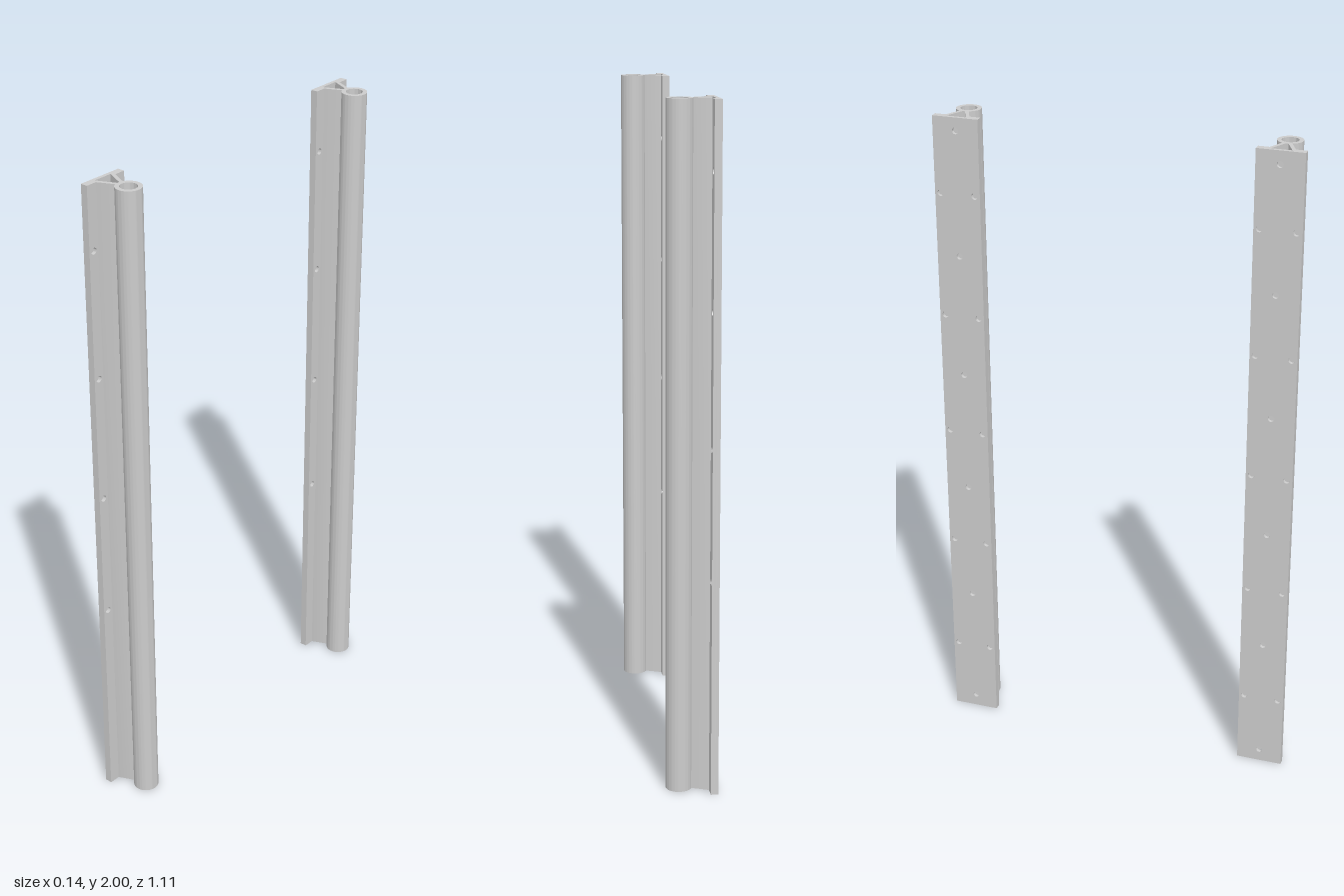
import * as THREE from 'three';
import { toCreasedNormals } from 'three/addons/utils/BufferGeometryUtils.js';

const HEIGHT = 2, PITCH = 0.388;
const HALF_WIDTH = 0.071, HOLE_Z = 0.054, HOLE_R = 0.01;
const BACK_X = -0.072, SEAM_X = -0.061, FRONT_X = -0.05;
const material = new THREE.MeshStandardMaterial({ color: 0xcccccc });

function addMesh(group, name, geometry) {
  const mesh = new THREE.Mesh(toCreasedNormals(geometry, 0.6), material);
  mesh.name = name;
  group.add(mesh);
}

// Constant section in the x-z plane, drawn upward along y
function extrudeUp(shape) {
  return new THREE.ExtrudeGeometry(shape, { depth: HEIGHT, bevelEnabled: false, curveSegments: 40 })
    .rotateX(-Math.PI / 2);
}

// Upright strip between two z values, drilled through its thickness in x
function drilledStrip(z0, z1, x0, x1, holes) {
  const shape = new THREE.Shape();
  shape.moveTo(-z1, 0).lineTo(-z0, 0).lineTo(-z0, HEIGHT).lineTo(-z1, HEIGHT).closePath();
  for (const [z, y] of holes) {
    shape.holes.push(new THREE.Path().absarc(-z, y, HOLE_R, 0, Math.PI * 2, true));
  }
  return new THREE.ExtrudeGeometry(shape, { depth: x1 - x0, bevelEnabled: false, curveSegments: 8 })
    .rotateY(Math.PI / 2).translate(x0, 0, 0);
}

function createRail() {
  const rail = new THREE.Group();

  // Hollow tube along the front edge
  const ring = new THREE.Shape().absarc(0.034, 0, 0.038, 0, Math.PI * 2, false);
  ring.holes.push(new THREE.Path().absarc(0.034, 0, 0.025, 0, Math.PI * 2, true));
  addMesh(rail, 'tube', extrudeUp(ring));

  // Back strip: a centre row of holes staggered between two outer rows
  const backHoles = [];
  for (let i = 0; i < 6; i++) backHoles.push([0, 0.04 + i * 0.384]);
  for (let i = 0; i < 5; i++) {
    for (const side of [-1, 1]) backHoles.push([side * HOLE_Z, 0.232 + i * 0.384]);
  }
  addMesh(rail, 'backStrip', drilledStrip(-HALF_WIDTH, HALF_WIDTH, BACK_X, SEAM_X, backHoles));

  for (const side of [-1, 1]) {
    // Slanted web joining the flange to the tube
    const web = new THREE.Shape([
      [SEAM_X, 0.03], [SEAM_X, 0.038], [FRONT_X, 0.037], [0.004, 0.012], [0.002, 0.001],
    ].map(([x, z]) => new THREE.Vector2(x, z * side)));
    addMesh(rail, 'web', extrudeUp(web));

    // Front flange with four holes
    const holes = [0, 1, 2, 3].map((i) => [side * HOLE_Z, 0.643 + i * PITCH]);
    const ends = [side * 0.037, side * HALF_WIDTH].sort((a, b) => a - b);
    addMesh(rail, 'flange', drilledStrip(ends[0], ends[1], SEAM_X, FRONT_X, holes));
  }
  return rail;
}

export function createModel() {
  const model = new THREE.Group();
  model.name = 'railPair';
  for (const side of [-1, 1]) {
    const rail = createRail();
    rail.name = side > 0 ? 'frontRail' : 'backRail';
    rail.position.z = side * 0.484;
    model.add(rail);
  }
  return model;
}
